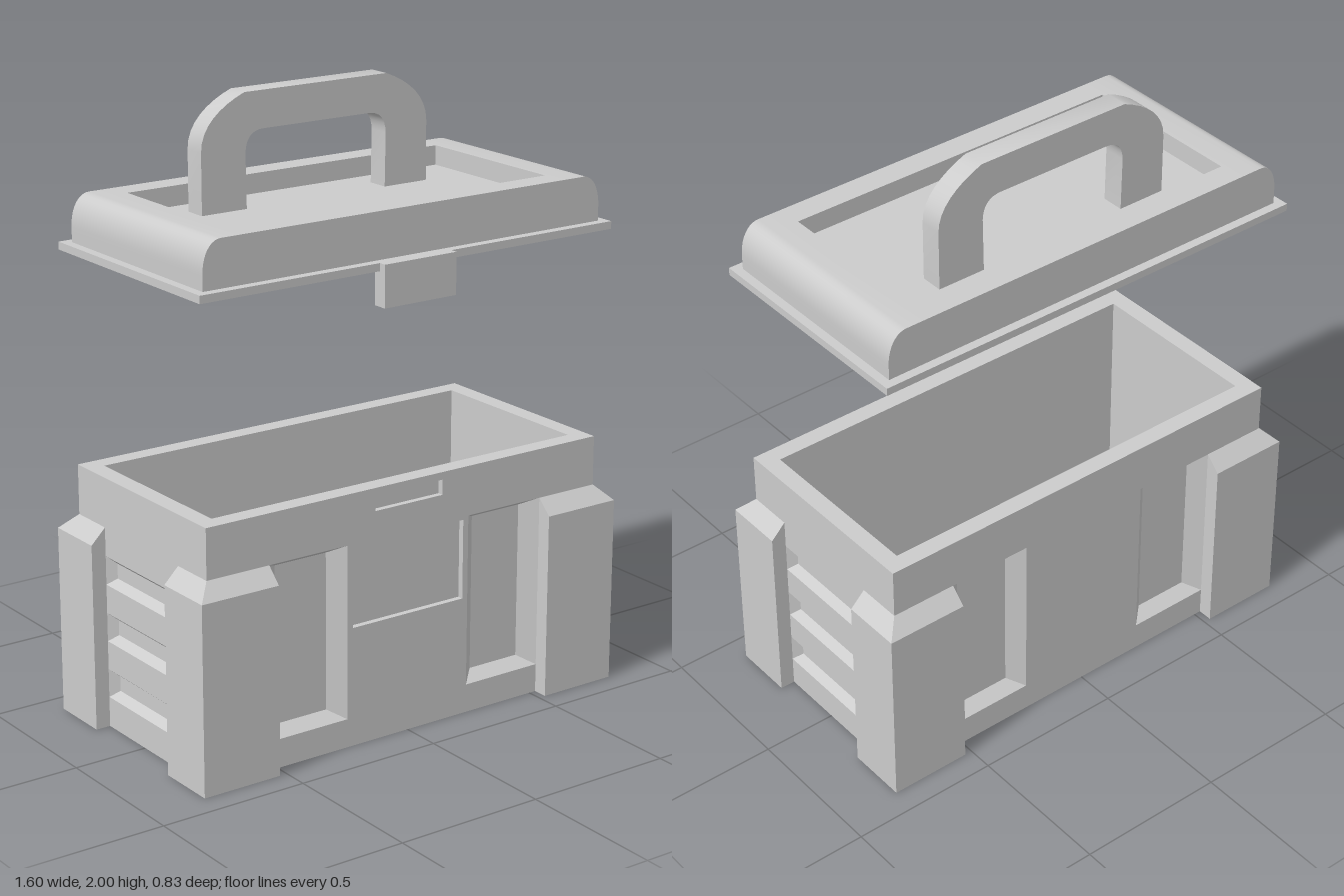
import * as THREE from 'three';
import { toCreasedNormals, mergeGeometries } from 'three/addons/utils/BufferGeometryUtils.js';

const mat = new THREE.MeshStandardMaterial({ color: 0xcccccc });

function add(parent, name, geometry, x = 0, y = 0, z = 0) {
  const m = new THREE.Mesh(geometry, mat);
  m.name = name;
  m.position.set(x, y, z);
  parent.add(m);
  return m;
}

// Flat-shaded surface from four-cornered faces (counter-clockwise seen from outside)
function quads(list, flip = false) {
  const pos = [];
  for (const q of list) {
    const [a, b, c, d] = flip ? [...q].reverse() : q;
    pos.push(...a, ...b, ...c, ...a, ...c, ...d);
  }
  const g = new THREE.BufferGeometry();
  g.setAttribute('position', new THREE.Float32BufferAttribute(pos, 3));
  g.computeVertexNormals();
  return g;
}

const rect = (Type, x0, x1, y0, y1) =>
  new Type([[x0, y0], [x1, y0], [x1, y1], [x0, y1]].map((p) => new THREE.Vector2(...p)));

// Flat face towards +z with sunken pockets; pocket = { r: outer [x0,x1,y0,y1], i: floor [x0,x1,y0,y1], d: depth }
function pocketFace(x0, x1, y0, y1, pockets = []) {
  const shape = rect(THREE.Shape, x0, x1, y0, y1);
  const faces = [];
  for (const { r, i = r, d } of pockets) {
    shape.holes.push(rect(THREE.Path, ...r));
    const loop = (b, z) => [[b[0], b[2], z], [b[1], b[2], z], [b[1], b[3], z], [b[0], b[3], z]];
    const o = loop(r, 0), n = loop(i, -d);
    for (let k = 0; k < 4; k++) {
      const j = (k + 1) % 4;
      faces.push([o[k], o[j], n[j], n[k]]);
    }
    faces.push(n);
  }
  const flat = new THREE.ShapeGeometry(shape).toNonIndexed();
  flat.deleteAttribute('uv');
  return faces.length ? mergeGeometries([flat, quads(faces)]) : flat;
}

// Outline with optional hole, extruded upwards from y = 0
function ring(hx, hz, ix, iz, h) {
  const s = rect(THREE.Shape, -hx, hx, -hz, hz);
  s.holes.push(rect(THREE.Path, -ix, ix, -iz, iz));
  return new THREE.ExtrudeGeometry(s, { depth: h, bevelEnabled: false }).rotateX(-Math.PI / 2);
}

const BX = 0.75, BZ = 0.365, BH = 0.835;

function createBox() {
  const box = new THREE.Group();
  box.name = 'box';

  // Long walls, each with two tall sunken panels
  const tall = [
    { r: [-0.525, -0.235, 0.095, 0.67], i: [-0.475, -0.285, 0.125, 0.645], d: 0.045 },
    { r: [0.235, 0.525, 0.095, 0.67], i: [0.285, 0.475, 0.125, 0.645], d: 0.045 },
  ];
  const labelAndSlot = [
    { r: [-0.215, 0.215, 0.395, 0.66], d: 0.02 },
    { r: [-0.13, 0.13, 0.76, 0.81], d: 0.02 },
  ];
  add(box, 'frontWall', pocketFace(-BX, BX, 0, BH, [...tall, ...labelAndSlot]), 0, 0, BZ);
  add(box, 'backWall', pocketFace(-BX, BX, 0, BH, tall), 0, 0, -BZ).rotation.y = Math.PI;

  // End walls with three horizontal grooves
  const grooves = [0.1, 0.29, 0.48].map((y) => (
    { r: [-0.21, 0.21, y, y + 0.095], i: [-0.19, 0.19, y + 0.02, y + 0.07], d: 0.03 }));
  for (const s of [1, -1]) {
    add(box, s > 0 ? 'leftWall' : 'rightWall', pocketFace(-BZ, BZ, 0, BH, grooves), s * BX)
      .rotation.y = s * Math.PI / 2;
  }

  // Rim with the deep cavity, and the underside
  const cavity = [{ r: [-0.69, 0.69, -0.305, 0.305], d: BH - 0.05 }];
  add(box, 'rimAndCavity', pocketFace(-BX, BX, -BZ, BZ, cavity), 0, BH).rotation.x = -Math.PI / 2;
  add(box, 'underside', pocketFace(-BX, BX, -BZ, BZ)).rotation.x = Math.PI / 2;

  // Corner guards: a chamfered profile [outward, height] taken round each corner
  const profile = [[0, 0], [0.05, 0], [0.05, 0.62], [0, 0.67]];
  for (const sx of [1, -1]) for (const sz of [1, -1]) {
    const stations = [
      profile.map(([o, y]) => [sx * 0.525, y, sz * (BZ + o)]),
      profile.map(([o, y]) => [sx * (BX + o), y, sz * (BZ + o)]),
      profile.map(([o, y]) => [sx * (BX + o), y, sz * 0.21]),
    ];
    const faces = [stations[0], [...stations[2]].reverse()];
    for (let s = 0; s < 2; s++) for (let k = 0; k < 3; k++) {
      faces.push([stations[s][k], stations[s + 1][k], stations[s + 1][k + 1], stations[s][k + 1]]);
    }
    add(box, 'cornerGuard', quads(faces, sx * sz < 0));
  }
  return box;
}

function createLid() {
  const lid = new THREE.Group();
  lid.name = 'lid';
  lid.position.z = -0.005;

  // Flange and lower wall, open underneath
  add(lid, 'flange', ring(0.775, 0.395, 0.715, 0.335, 0.025), 0, 1.525);
  add(lid, 'lowerWall', ring(0.745, BZ, 0.715, 0.335, 0.025), 0, 1.55);

  // Rounded ends
  const end = new THREE.Shape();
  end.moveTo(0.595, 1.575);
  end.lineTo(0.745, 1.575);
  end.lineTo(0.745, 1.6);
  end.bezierCurveTo(0.745, 1.655, 0.72, 1.7, 0.68, 1.7);
  end.lineTo(0.595, 1.7);
  const endGeo = toCreasedNormals(
    new THREE.ExtrudeGeometry(end, { depth: 2 * BZ, bevelEnabled: false, curveSegments: 10 })
      .translate(0, 0, -BZ), 0.6);
  add(lid, 'roundedEnd', endGeo);
  add(lid, 'roundedEnd', endGeo).rotation.y = Math.PI;

  // Rails and the sunken top between them
  for (const s of [1, -1]) {
    add(lid, 'topRail', new THREE.BoxGeometry(1.19, 0.125, 0.085), 0, 1.6375, s * 0.3225);
  }
  add(lid, 'sunkenTop', new THREE.BoxGeometry(1.19, 0.06, 0.56), 0, 1.605, 0);

  // Latch tab
  add(lid, 'latch', new THREE.BoxGeometry(0.27, 0.135, 0.05), 0, 1.4825, 0.395);

  // Carrying handle
  const h = new THREE.Shape();
  h.moveTo(0.43, 1.635);
  h.lineTo(0.43, 1.83);
  h.bezierCurveTo(0.43, 1.91, 0.36, 1.965, 0.27, 2);
  h.lineTo(-0.27, 2);
  h.bezierCurveTo(-0.36, 1.965, -0.43, 1.91, -0.43, 1.83);
  h.lineTo(-0.43, 1.635);
  h.lineTo(-0.265, 1.635);
  h.lineTo(-0.268, 1.81);
  h.quadraticCurveTo(-0.265, 1.88, -0.2, 1.88);
  h.lineTo(0.2, 1.88);
  h.quadraticCurveTo(0.265, 1.88, 0.268, 1.81);
  h.lineTo(0.265, 1.635);
  const handle = new THREE.ExtrudeGeometry(h, { depth: 0.075, bevelEnabled: false, curveSegments: 8 });
  add(lid, 'handle', toCreasedNormals(handle, 0.6), 0, 0, -0.193);
  return lid;
}

export function createModel() {
  const model = new THREE.Group();
  model.name = 'toolbox';
  model.add(createBox(), createLid());
  return model;
}
